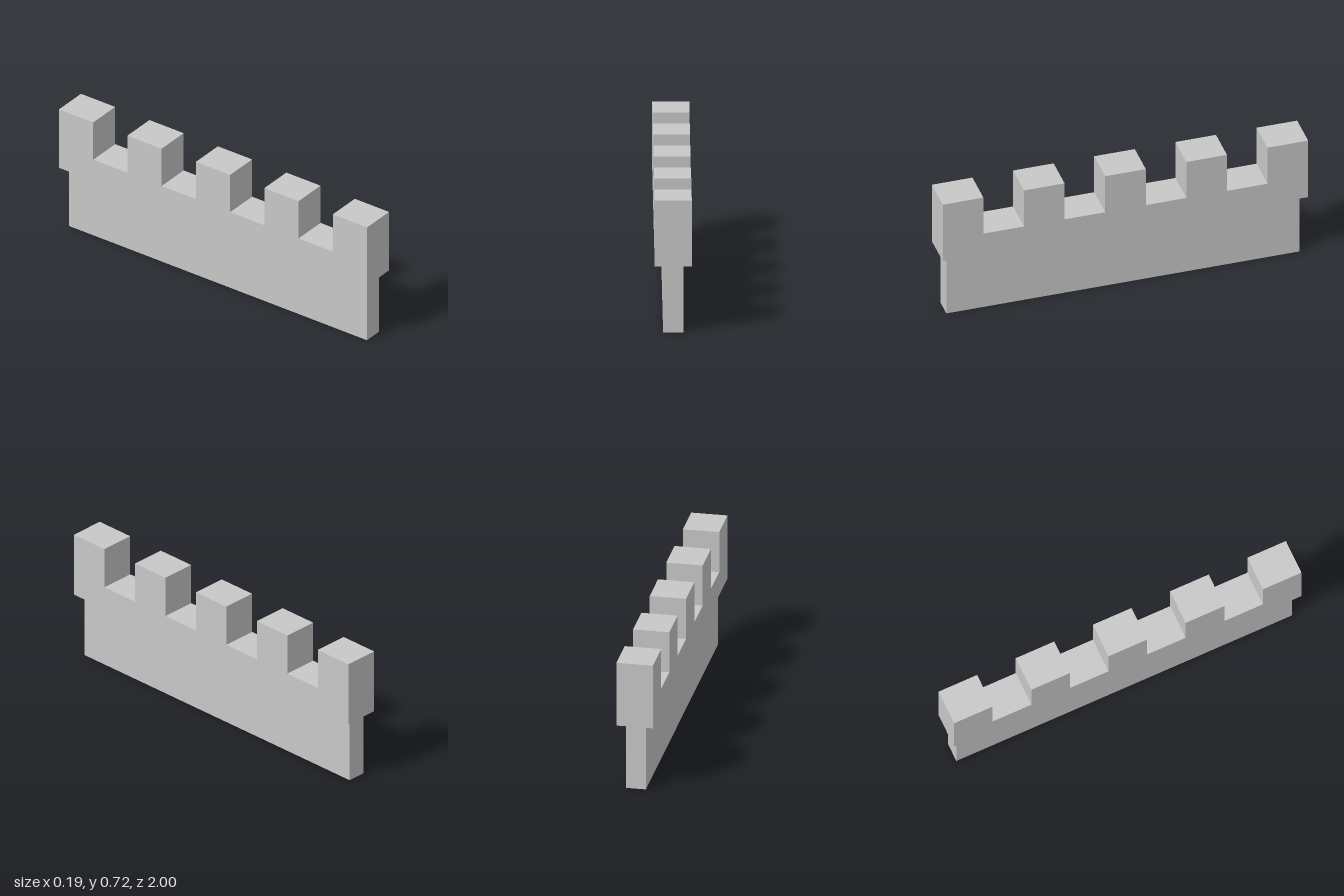
import * as THREE from 'three';

export function createModel() {
  const model = new THREE.Group();
  model.name = 'battlementWall';
  const stone = new THREE.MeshStandardMaterial({ color: 0xc8c8c8, side: THREE.DoubleSide });
  stone.name = 'pale grey stone';

  const BASE_TOP = 0.366, FLOOR = 0.496, TOP = 0.724;
  const MERLONS = 5;
  const step = 2 / (MERLONS * 2 - 1); // merlons and gaps share one width

  // Narrow lower wall: four upright sides, hollow and open underneath
  const lowerWall = new THREE.Group();
  lowerWall.name = 'lowerWall';
  const halfX = 0.053, halfZ = 0.967;
  for (let i = 0; i < 4; i++) {
    const alongX = i % 2 === 0;
    const panel = new THREE.Mesh(
      new THREE.PlaneGeometry(2 * (alongX ? halfX : halfZ), BASE_TOP).translate(0, BASE_TOP / 2, alongX ? halfZ : halfX),
      stone);
    panel.rotation.y = i * Math.PI / 2;
    panel.name = 'wallPanel';
    lowerWall.add(panel);
  }
  model.add(lowerWall);

  // Wider parapet: one crenellated outline extruded across the thickness
  const outline = new THREE.Shape();
  outline.moveTo(-1, BASE_TOP);
  outline.lineTo(1, BASE_TOP);
  for (let i = 0; i < MERLONS; i++) {
    const right = 1 - i * 2 * step, left = right - step;
    if (i > 0) outline.lineTo(right, FLOOR);
    outline.lineTo(right, TOP);
    outline.lineTo(left, TOP);
    if (i < MERLONS - 1) outline.lineTo(left, FLOOR);
  }
  outline.closePath();
  const parapetGeometry = new THREE.ExtrudeGeometry(outline, { depth: 0.194, bevelEnabled: false });
  parapetGeometry.translate(0, 0, -0.097).rotateY(Math.PI / 2);
  const parapet = new THREE.Mesh(parapetGeometry, stone);
  parapet.name = 'crenellatedParapet';
  model.add(parapet);

  return model;
}
